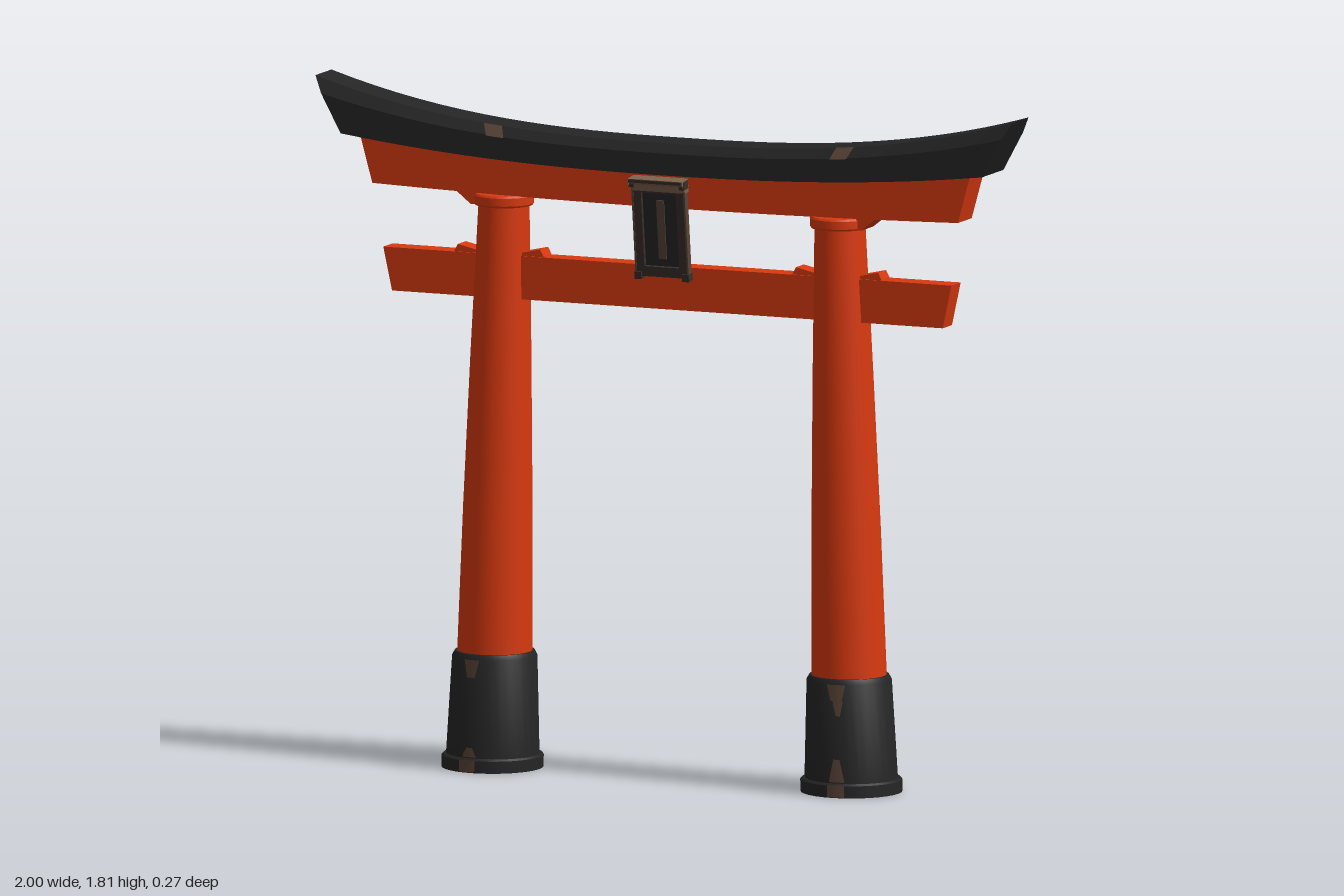
import * as THREE from 'three';
import { toCreasedNormals } from 'three/addons/utils/BufferGeometryUtils.js';

const paint = (name, color) => Object.assign(new THREE.MeshStandardMaterial({ color }), { name });

export function createModel() {
  const red = paint('vermilion', 0xd8390f);
  const black = paint('charcoal', 0x252525);
  const wood = paint('bare wood', 0x5a4438);
  const paleWood = paint('pale wood', 0x80624c);
  const frameDark = paint('dark frame', 0x382f2a);

  const gate = new THREE.Group();
  gate.name = 'gate';

  const add = (name, geometry, material, parent = gate) => {
    const mesh = new THREE.Mesh(geometry, material);
    mesh.name = name;
    parent.add(mesh);
    return mesh;
  };

  // Closed solid through rings ordered along +x; each ring goes up the front and down the back
  const loft = (rings) => {
    const n = rings[0].length, index = [], last = (rings.length - 1) * n;
    for (let i = 0; i < rings.length - 1; i++) {
      for (let j = 0; j < n; j++) {
        const a = i * n + j, b = i * n + (j + 1) % n;
        index.push(a, a + n, b + n, a, b + n, b);
      }
    }
    for (let k = 1; k < n - 1; k++) index.push(0, k, k + 1, last, last + k + 1, last + k);
    const g = new THREE.BufferGeometry();
    g.setAttribute('position', new THREE.Float32BufferAttribute(rings.flat(2), 3));
    g.setIndex(index);
    return toCreasedNormals(g, 0.3);
  };
  const steps = (a, b, n) => Array.from({ length: n + 1 }, (_, i) => a + (b - a) * i / n);

  // Curved top beam: s runs along the beam, v from underside to ridge
  const under = (s) => 1.612 + 0.053 * Math.abs(s) ** 2.3;
  const ridge = (s) => 1.695 + 0.117 * Math.abs(s) ** 2.6;
  const roofPoint = (s, v, z) => [s * (0.92 + 0.08 * v), under(s) + (ridge(s) - under(s)) * v, z];
  const roofPart = (s0, s1, n, profile) =>
    loft(steps(s0, s1, n).map((s) => profile.map(([v, z]) => roofPoint(s, v, z))));
  add('roofBeam', roofPart(-1, 1, 32,
    [[0, 0.07], [0.7, 0.07], [1, 0.052], [1, -0.052], [0.7, -0.07], [0, -0.07]]), black);
  for (const s of [-0.49, 0.52]) {
    add('roofWear', roofPart(s - 0.025, s + 0.025, 2,
      [[0.68, 0.073], [1.01, 0.055], [0.98, 0.045], [0.68, 0.06]]), wood);
  }

  // Red lintel under the top beam
  add('lintel', loft(steps(-1, 1, 24).map((s) => {
    const top = under(s * 0.93) + 0.004, bottom = 1.522 + 0.013 * s * s;
    return [[0.84 * s, bottom, 0.045], [0.875 * s, top, 0.045],
      [0.875 * s, top, -0.045], [0.84 * s, bottom, -0.045]];
  })), red);

  // Straight tie beam with slanted ends
  add('tieBeam', loft([-1, 1].map((s) => [[0.79 * s, 1.25, 0.03], [0.815 * s, 1.365, 0.03],
    [0.815 * s, 1.365, -0.03], [0.79 * s, 1.25, -0.03]])), red);

  // Pillars lean gently inward
  const axis = (side, y) => side * (0.515 - 0.022 * y);
  const lean = (g, side) => {
    const p = g.attributes.position;
    for (let i = 0; i < p.count; i++) p.setX(i, p.getX(i) + axis(side, p.getY(i)));
    return g;
  };
  const turned = (side, profile) => {
    const points = profile.map(([r, y]) => new THREE.Vector2(r, y));
    return toCreasedNormals(lean(new THREE.LatheGeometry(points, 32), side), 0.5);
  };
  // Thin worn patch hugging the base sleeve
  const sleeveRadius = (y) => (y < 0.037 ? 0.134 : 0.123 - 0.011 * (y - 0.037) / 0.26);
  const wearPatch = (side, angle, width, y0, y1, w0, w1) => {
    const g = new THREE.PlaneGeometry(1, 1, 4, 3), p = g.attributes.position;
    for (let i = 0; i < p.count; i++) {
      const v = p.getY(i) + 0.5, y = y0 + (y1 - y0) * v;
      const a = angle + p.getX(i) * width * (w0 + (w1 - w0) * v);
      const r = sleeveRadius(y) + 0.002;
      p.setXYZ(i, r * Math.sin(a), y, r * Math.cos(a));
    }
    lean(g, side).computeVertexNormals();
    return g;
  };

  for (const side of [-1, 1]) {
    const pillar = new THREE.Group();
    pillar.name = side > 0 ? 'leftPillar' : 'rightPillar';
    gate.add(pillar);
    add('baseRing', turned(side, [[0, 0], [0.134, 0], [0.134, 0.032], [0.129, 0.037], [0.11, 0.037]]), black, pillar);
    add('baseSleeve', turned(side, [[0.123, 0.03], [0.112, 0.297], [0.105, 0.31], [0.09, 0.31]]), black, pillar);
    add('column', turned(side, [[0.099, 0.3], [0.091, 0.7], [0.08, 1.1], [0.067, 1.5]]), red, pillar);
    add('capRing', turned(side, [[0.06, 1.493], [0.076, 1.495], [0.079, 1.5], [0.079, 1.521], [0.075, 1.526], [0, 1.526]]), red, pillar);

    // Bracket on the outer side of the cap
    const bracket = [[0.54, 1.496, 0.56], [0.54, 1.532, 0.605]].map(([x, y, out]) => [x, y, out]);
    const [lo, hi] = bracket;
    const ends = [[lo[0], hi[0]], [lo[2], hi[2]]].map(([xb, xt]) => [
      [side * xb, lo[1], 0.04], [side * xt, hi[1], 0.04],
      [side * xt, hi[1], -0.04], [side * xb, lo[1], -0.04]]);
    add('capBracket', loft(side > 0 ? ends : ends.reverse()), red, pillar);

    // Wedges driven in above the tie beam, higher away from the column
    for (const dir of [-1, 1]) {
      const c = axis(side, 1.37);
      const rings = [[0.05, 1.37], [0.118, 1.385], [0.128, 1.366]].map(([d, y]) => [
        [c + dir * d, 1.35, 0.026], [c + dir * d, y, 0.026],
        [c + dir * d, y, -0.026], [c + dir * d, 1.35, -0.026]]);
      add('wedge', loft(dir > 0 ? rings : rings.reverse()), red, pillar);
    }
  }

  // Worn paint: side, angle, width, bottom, top, lower and upper width factors
  const wear = [
    [-1, -0.15, 0.4, 0.25, 0.297, 0.5, 1], [-1, -0.12, 0.35, 0.04, 0.065, 1, 0.4],
    [-1, -0.12, 0.35, 0.002, 0.034, 1, 1], [1, 0.1, 0.45, 0.255, 0.297, 0.6, 1],
    [1, 0.14, 0.25, 0.215, 0.255, 0.4, 1], [1, 0.1, 0.35, 0.04, 0.1, 1, 0.4],
    [1, 0.1, 0.35, 0.002, 0.034, 1, 1], [-1, 3.6, 0.3, 0.04, 0.075, 1, 0.3],
    [-1, 3.6, 0.3, 0.002, 0.034, 1, 1], [-1, 4.4, 0.3, 0.265, 0.297, 0.5, 1],
  ];
  for (const [side, ...rest] of wear) add('baseWear', wearPatch(side, ...rest), wood);

  // Hanging plaque, tilted forward at the top
  const plaque = new THREE.Group();
  plaque.name = 'plaque';
  plaque.position.set(0, 1.335, 0.04);
  plaque.rotation.x = 0.12;
  gate.add(plaque);
  const box = (name, w, h, d, x, y, z, material) =>
    add(name, new THREE.BoxGeometry(w, h, d), material, plaque).position.set(x, y, z);
  const rect = (T, w, y0, y1) => new T([[-w, y0], [w, y0], [w, y1], [-w, y1]].map(([x, y]) => new THREE.Vector2(x, y)));
  const frame = rect(THREE.Shape, 0.072, 0.008, 0.262);
  frame.holes.push(rect(THREE.Path, 0.05, 0.035, 0.235));
  add('plaqueFrame', new THREE.ExtrudeGeometry(frame, { depth: 0.022, bevelEnabled: false }), frameDark, plaque);
  box('plaquePanel', 0.13, 0.24, 0.01, 0, 0.135, 0.006, black);
  box('plaqueOrnament', 0.022, 0.16, 0.004, 0, 0.135, 0.012, wood);
  for (const side of [-1, 1]) {
    box('frameEdge', 0.005, 0.25, 0.02, side * 0.074, 0.135, 0.013, wood);
    box('frameFoot', 0.02, 0.02, 0.026, side * 0.068, 0.01, 0.014, frameDark);
    box('frameCorner', 0.014, 0.022, 0.03, side * 0.072, 0.262, 0.018, frameDark);
  }
  // Flared cornice
  add('plaqueCornice', loft([-0.078, 0.078].map((x) => [[x, 0.24, 0.022], [x, 0.258, 0.028],
    [x, 0.266, 0.04], [x, 0.276, 0.04], [x, 0.276, 0], [x, 0.24, 0]])), paleWood, plaque);
  box('corniceFace', 0.15, 0.008, 0.004, 0, 0.271, 0.041, frameDark);

  return gate;
}
